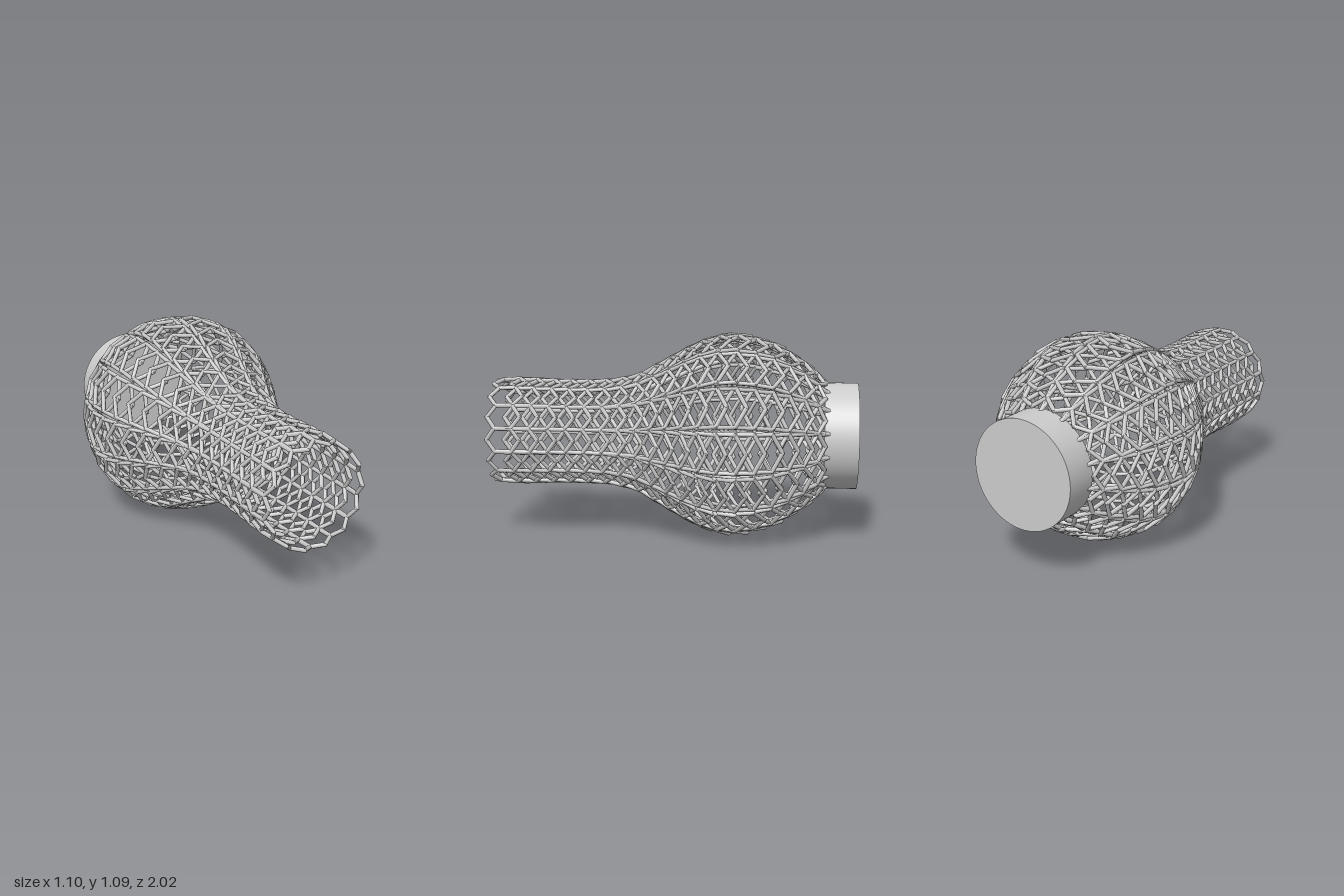
import * as THREE from 'three';
import { mergeGeometries } from 'three/addons/utils/BufferGeometryUtils.js';

const COLUMNS = 14, ROWS = 20, WIRE = 0.0115;
const SHINGLE = 0.07; // outward lean of each cell towards the base

// Straight round wire from a to b
function wire(a, b) {
  const dir = b.clone().sub(a), len = dir.length();
  const geo = new THREE.CylinderGeometry(WIRE, WIRE, len + WIRE, 6);
  geo.applyQuaternion(new THREE.Quaternion().setFromUnitVectors(new THREE.Vector3(0, 1, 0), dir.normalize()));
  const mid = a.clone().add(b).multiplyScalar(0.5);
  return geo.translate(mid.x, mid.y, mid.z);
}

export function createModel() {
  const group = new THREE.Group();
  const material = new THREE.MeshStandardMaterial({ color: 0xcccccc });

  // Vase built along local +y, from the base cap to the open mouth
  const vase = new THREE.Group();
  vase.name = 'latticeVase';

  // Solid base cap
  const cap = new THREE.Mesh(new THREE.CylinderGeometry(0.284, 0.284, 0.18, 64), material);
  cap.name = 'baseCap';
  cap.position.y = 0.09;
  vase.add(cap);

  // Outline of the vase as (radius, height)
  const profile = new THREE.SplineCurve([
    [0.235, 0.11], [0.285, 0.18], [0.365, 0.27], [0.43, 0.37], [0.48, 0.47], [0.508, 0.575],
    [0.518, 0.675], [0.503, 0.775], [0.465, 0.875], [0.41, 0.98], [0.355, 1.08], [0.305, 1.18],
    [0.281, 1.28], [0.27, 1.38], [0.268, 1.58], [0.275, 1.78], [0.277, 1.95],
  ].map(([r, y]) => new THREE.Vector2(r, y)));
  const length = profile.getLength();

  // Rings of flat hexagonal cells, lined up in columns
  for (let i = 0; i < ROWS; i++) {
    const u = (0.09 + (length - 0.175) * i / (ROWS - 1)) / length;
    const p = profile.getPointAt(u), t = profile.getTangentAt(u);
    t.rotateAround(new THREE.Vector2(), SHINGLE);
    const half = (0.122 + Math.max(0, p.x - 0.275) * 0.32) / 2;
    const side = 0.03 + half * 0.25, tip = 0.055 + half * 0.55;
    const outline = [[0, tip], [half, side], [half, -side], [0, -tip], [-half, -side], [-half, side]];
    const corners = outline.map(([c, s]) => new THREE.Vector3(p.x + t.x * s, p.y + t.y * s, c));
    const cell = mergeGeometries(corners.map((c, k) => wire(c, corners[(k + 1) % 6])));
    const cells = [];
    for (let j = 0; j < COLUMNS; j++) cells.push(cell.clone().rotateY(j * 2 * Math.PI / COLUMNS));
    const ring = new THREE.Mesh(mergeGeometries(cells), material);
    ring.name = 'hexagonRing' + (i + 1);
    vase.add(ring);
  }

  // Lay the vase down, mouth to the front and slightly to one side
  vase.quaternion.setFromUnitVectors(new THREE.Vector3(0, 1, 0), new THREE.Vector3(0, 0, 1));
  vase.quaternion.premultiply(new THREE.Quaternion().setFromAxisAngle(new THREE.Vector3(0, 1, 0), -0.118));
  vase.position.set(0.077, 0.547, -0.967);
  group.add(vase);
  return group;
}
